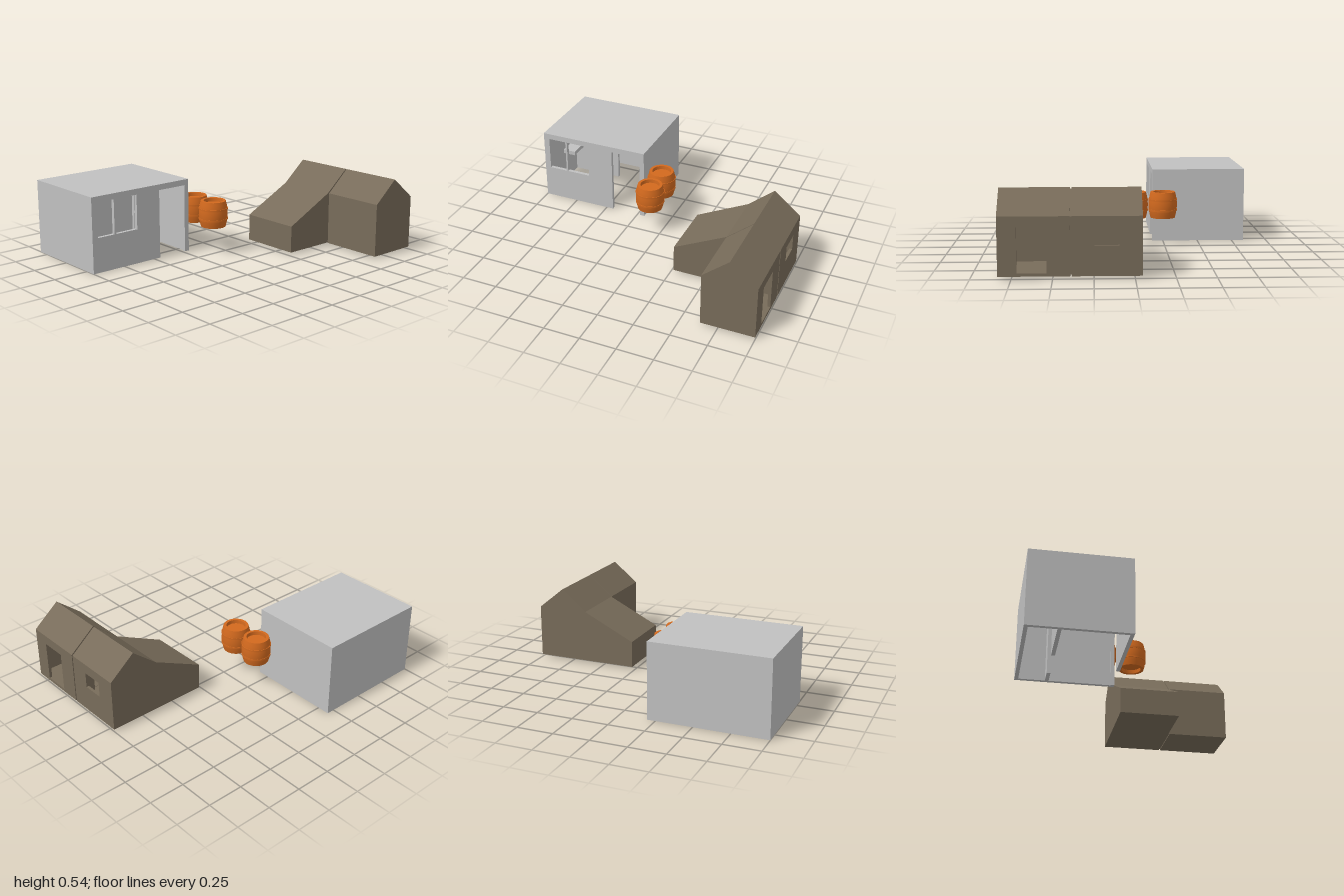
import * as THREE from 'three';
import { toCreasedNormals } from 'three/addons/utils/BufferGeometryUtils.js';

const material = (name, color) => Object.assign(new THREE.MeshStandardMaterial({ color }), { name });

function mesh(parent, name, geometry, mat) {
  const m = new THREE.Mesh(geometry, mat);
  m.name = name;
  parent.add(m);
  return m;
}

// Box given by its lower and upper corners
function box(parent, name, [x0, y0, z0], [x1, y1, z1], mat) {
  const g = new THREE.BoxGeometry(x1 - x0, y1 - y0, z1 - z0);
  mesh(parent, name, g, mat).position.set((x0 + x1) / 2, (y0 + y1) / 2, (z0 + z1) / 2);
}

const outline = (points, holes = []) => {
  const shape = new THREE.Shape(points.map(([a, b]) => new THREE.Vector2(a, b)));
  holes.forEach(h => shape.holes.push(new THREE.Path(h.map(([a, b]) => new THREE.Vector2(a, b)))));
  return shape;
};
const rect = (a0, b0, a1, b1) => [[a0, b0], [a1, b0], [a1, b1], [a0, b1]];

// Outline in (-z, y), extruded along x from x0 to x1
function slabX(parent, name, points, holes, x0, x1, mat) {
  const g = new THREE.ExtrudeGeometry(outline(points, holes), { depth: x1 - x0, bevelEnabled: false });
  g.rotateY(Math.PI / 2).translate(x0, 0, 0);
  mesh(parent, name, g, mat);
}

// Outline in (x, y), extruded along z from z0 to z1
function slabZ(parent, name, points, holes, z0, z1, mat) {
  const g = new THREE.ExtrudeGeometry(outline(points, holes), { depth: z1 - z0, bevelEnabled: false });
  mesh(parent, name, g.translate(0, 0, z0), mat);
}

// Flat-roofed hut, open underneath
function createHut(mat) {
  const hut = new THREE.Group();
  hut.name = 'flatRoofHut';
  const x0 = -0.835, x1 = -0.172, z0 = 0.195, z1 = 1, top = 0.52, t = 0.025, ceil = 0.49;
  box(hut, 'roof', [x0, ceil, z0], [x1, top, z1], mat);
  box(hut, 'leftWall', [x0, 0, z0], [x0 + t, ceil, z1], mat);
  box(hut, 'backWall', [x0 + t, 0, z0], [x1 - t, ceil, z0 + t], mat);
  box(hut, 'frontWall', [x0 + t, 0, z1 - t], [x1 - t, ceil, z1], mat);
  // Entrance wall with doorway and two windows
  slabX(hut, 'entranceWall',
    [[-z1, 0], [-0.45, 0], [-0.45, 0.48], [-0.23, 0.48], [-0.23, 0], [-z0, 0], [-z0, ceil], [-z1, ceil]],
    [rect(-0.957, 0.24, -0.825, 0.48), rect(-0.812, 0.24, -0.64, 0.48)], x1 - t, x1, mat);
  // Inner partition with a doorway
  slabX(hut, 'partition',
    [[-z1 + t, 0], [-0.61, 0], [-0.61, 0.48], [-0.345, 0.48], [-0.345, 0], [-z0 - t, 0], [-z0 - t, ceil], [-z1 + t, ceil]],
    [], -0.635, -0.61, mat);
  box(hut, 'shelf', [-0.61, 0.235, 0.88], [-0.41, 0.265, z1 - t], mat);
  return hut;
}

// Gabled house in two hollow sections
function createHouse(mat) {
  const house = new THREE.Group();
  house.name = 'gabledHouse';
  const base = 0.017, t = 0.02, gable = [[1, 0.385], [0.815, 0.535], [0.635, 0.385]];
  const innerGable = [[0.815, 0.51], [1, 0.36]];
  const innerDoor = [rect(0.73, 0.035, 0.86, 0.31)];
  const sections = [
    { name: 'leanToSection', x0: -0.045, x1: 0.384, joint: 1,
      front: [[0.27, 0.205], [0.27, base]], inner: [[0.29, 0.037], [0.29, 0.19], [0.635, 0.36]],
      opening: rect(0.096, 0.205, 0.245, 0.315) },
    { name: 'mainSection', x0: 0.394, x1: 0.833, joint: 0,
      front: [[0.635, base]], inner: [[0.655, 0.037], [0.655, 0.376]],
      opening: rect(0.535, 0.037, 0.717, 0.318) },
  ];
  for (const s of sections) {
    const g = new THREE.Group();
    g.name = s.name;
    house.add(g);
    const profile = [[1, base], ...gable, ...s.front];
    // Roof, front wall and floor as one folded shell
    slabX(g, 'shell', [...gable, ...s.front, [1, base], [1, 0.037], ...s.inner, ...innerGable], [],
      s.x0 + t, s.x1 - t, mat);
    slabX(g, 'endWallRight', profile, s.joint ? [] : innerDoor, s.x0, s.x0 + t, mat);
    slabX(g, 'endWallLeft', profile, s.joint ? innerDoor : [], s.x1 - t, s.x1, mat);
    // Back wall with its door or window
    const [a, b] = [s.x0 + t, s.x1 - t], o = s.opening;
    if (s.joint) slabZ(g, 'backWall', rect(a, 0.037, b, 0.36), [o], -1, -1 + t, mat);
    else slabZ(g, 'backWall',
      [[a, 0.037], o[0], o[3], o[2], o[1], [b, 0.037], [b, 0.36], [a, 0.36]], [], -1, -1 + t, mat);
  }
  // Recessed joint between the sections
  slabX(house, 'joint', [[0.99, 0.025], [0.99, 0.38], [0.815, 0.525], [0.645, 0.38], [0.645, 0.025]],
    innerDoor, 0.384, 0.394, mat);
  return house;
}

// Bulging barrel with recessed ends and two hoops
function createBarrel(mat, x) {
  const barrel = new THREE.Group();
  barrel.name = 'barrel';
  const h = 0.092;
  const radius = y => 0.101 - 0.014 * (y / h) ** 2;
  const side = [];
  for (let i = 0; i <= 8; i++) {
    const y = -h + (i / 8) * 2 * h;
    side.push([radius(y), y]);
  }
  const profile = [[0, -h + 0.025], [0.065, -h + 0.025], [0.067, -h], ...side,
    [0.067, h], [0.065, h - 0.025], [0, h - 0.025]];
  const lathe = pts => toCreasedNormals(
    new THREE.LatheGeometry(pts.map(([r, y]) => new THREE.Vector2(r, y)), 28), 0.5);
  mesh(barrel, 'staves', lathe(profile), mat);
  for (const y of [-0.036, 0.036]) {
    const r = radius(y), w = 0.006;
    mesh(barrel, 'hoop', lathe([[r - 0.004, y - w], [r + 0.003, y - w], [r + 0.003, y + w], [r - 0.004, y + w]]), mat);
  }
  barrel.position.set(x, 0.283, 0.085);
  return barrel;
}

export function createModel() {
  const model = new THREE.Group();
  model.name = 'settlement';
  const plaster = material('lightGrey', 0xc0c0c0);
  const timber = material('brown', 0x786c5a);
  const wood = material('orangeWood', 0xd2691e);
  model.add(createHut(plaster), createHouse(timber));
  for (const x of [-0.24, -0.033]) model.add(createBarrel(wood, x));
  return model;
}
